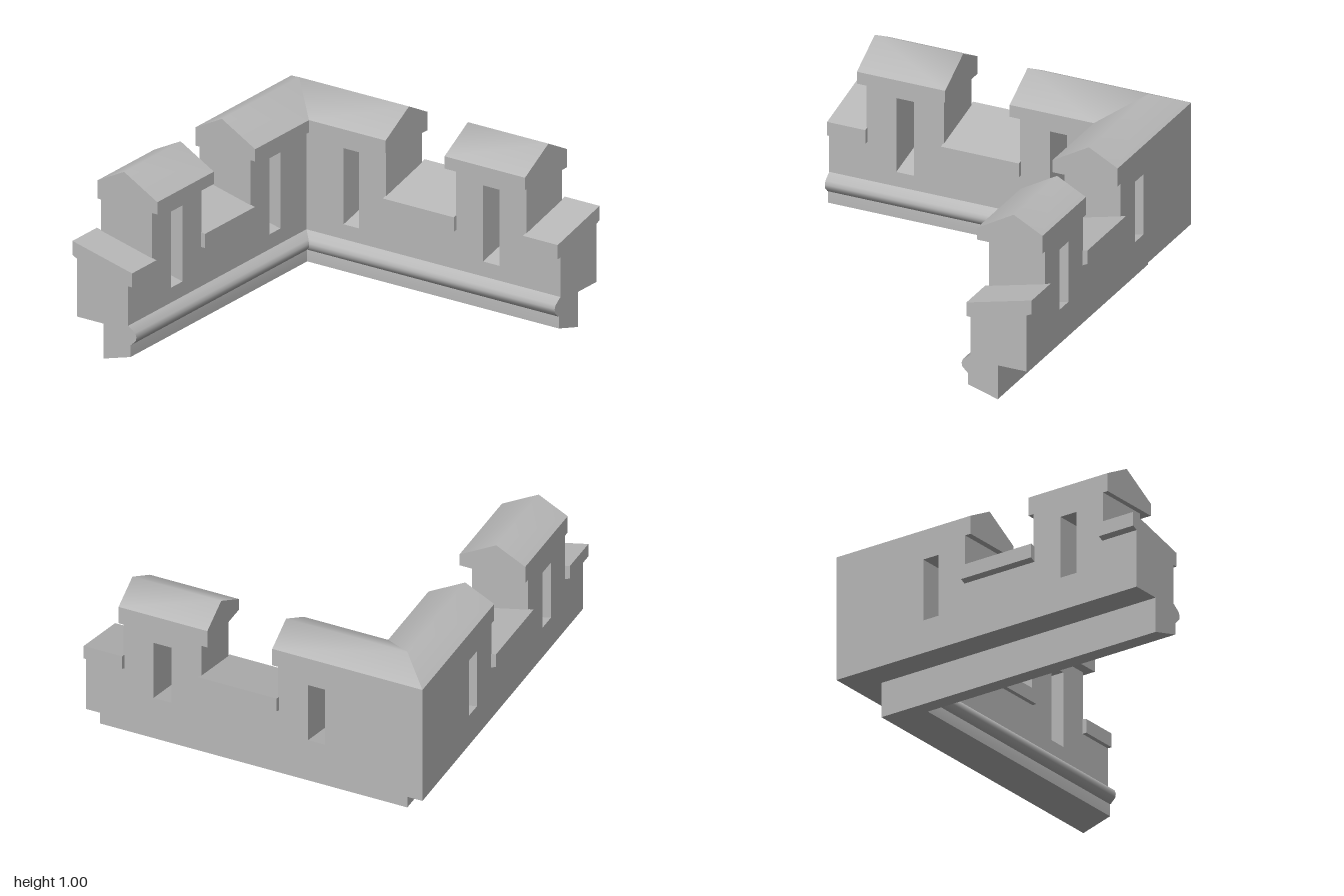
import * as THREE from 'three';
import { toCreasedNormals } from 'three/addons/utils/BufferGeometryUtils.js';

const toShape = (points) => new THREE.Shape(points.map(([a, b]) => new THREE.Vector2(a, b)));
const CORNER = 'corner';

// Cross-sections of the wall: [distance towards the outside, height]
const PLINTH = [[0.8, 0], [0.8, 0.2], [0.64, 0.2], [0.625, 0.12], [0.625, 0.05]];
const MOULDING = [[0.64, 0.12], [0.64, 0.225], [0.595, 0.193], [0.587, 0.172], [0.59, 0.15], [0.62, 0.12]];
const LEDGE = [[0.615, 0.45], [0.64, 0.45], [0.64, 0.53], [0.97, 0.53], [1, 0.545], [1, 0.625], [0.615, 0.53]];
const CAP = [[0.585, 0.81], [0.97, 0.81], [0.97, 0.915], [0.8, 1.003], [0.585, 0.88]];

// Runs a cross-section along the wing from s0 to s1 (s = -z), or to the mitred corner
function run(profile, s0, s1) {
  const raw = new THREE.ExtrudeGeometry(toShape(profile), { depth: 1, bevelEnabled: false });
  const geometry = toCreasedNormals(raw, THREE.MathUtils.degToRad(58));
  const p = geometry.attributes.position;
  for (let i = 0; i < p.count; i++) {
    const end = s1 === CORNER ? p.getX(i) : s1;
    p.setZ(i, -THREE.MathUtils.lerp(end, s0, p.getZ(i)));
  }
  return geometry;
}

// Crenellated wall with two windows whose sills slope down to the inside
function wallGeometry() {
  const shape = toShape([
    [-1, 0.2], [0.97, 0.2], [0.97, 0.81], [0.125, 0.81], [0.125, 0.53],
    [-0.325, 0.53], [-0.325, 0.81], [-0.78, 0.81], [-0.78, 0.53], [-1, 0.53],
  ]);
  for (const [a, b] of [[-0.605, -0.5], [0.3, 0.4]]) {
    shape.holes.push(new THREE.Path([[a, 0.39], [a, 0.745], [b, 0.745], [b, 0.39]]
      .map(([x, y]) => new THREE.Vector2(x, y))));
  }
  const geometry = new THREE.ExtrudeGeometry(shape, { depth: 0.33, bevelEnabled: false });
  geometry.rotateY(Math.PI / 2).translate(0.64, 0, 0);
  const p = geometry.attributes.position;
  for (let i = 0; i < p.count; i++) {
    if (p.getZ(i) < -0.9) p.setZ(i, -p.getX(i)); // mitre
    if (Math.abs(p.getY(i) - 0.39) < 0.001 && p.getX(i) < 0.7) p.setY(i, 0.31); // sill
  }
  geometry.computeVertexNormals();
  return geometry;
}

// Reflects a geometry across the corner diagonal and restores its winding
function reflect(source) {
  const geometry = source.clone();
  geometry.applyMatrix4(new THREE.Matrix4().set(0, 0, -1, 0, 0, 1, 0, 0, -1, 0, 0, 0, 0, 0, 0, 1));
  const index = [];
  for (let i = 0; i < geometry.attributes.position.count; i += 3) index.push(i, i + 2, i + 1);
  geometry.setIndex(index);
  return geometry;
}

export function createModel() {
  const stone = new THREE.MeshStandardMaterial({ color: 0xb8b8b8 });
  stone.name = 'grey stone';

  const parts = [
    ['plinth', run(PLINTH, -1, CORNER)],
    ['moulding', run(MOULDING, -1, CORNER)],
    ['wall', wallGeometry()],
    ['endLedge', run(LEDGE, -1, -0.775)],
    ['middleLedge', run(LEDGE, -0.33, 0.13)],
    ['merlonCap', run(CAP, -0.81, -0.29)],
    ['cornerCap', run(CAP, 0.09, CORNER)],
  ];

  // Two wings meeting at the back left corner
  const sideWing = new THREE.Group();
  sideWing.name = 'sideWing';
  const backWing = new THREE.Group();
  backWing.name = 'backWing';
  for (const [name, geometry] of parts) {
    for (const wing of [sideWing, backWing]) {
      const mesh = new THREE.Mesh(wing === sideWing ? geometry : reflect(geometry), stone);
      mesh.name = name;
      wing.add(mesh);
    }
  }

  const model = new THREE.Group();
  model.name = 'cornerBattlement';
  model.add(sideWing, backWing);
  return model;
}
